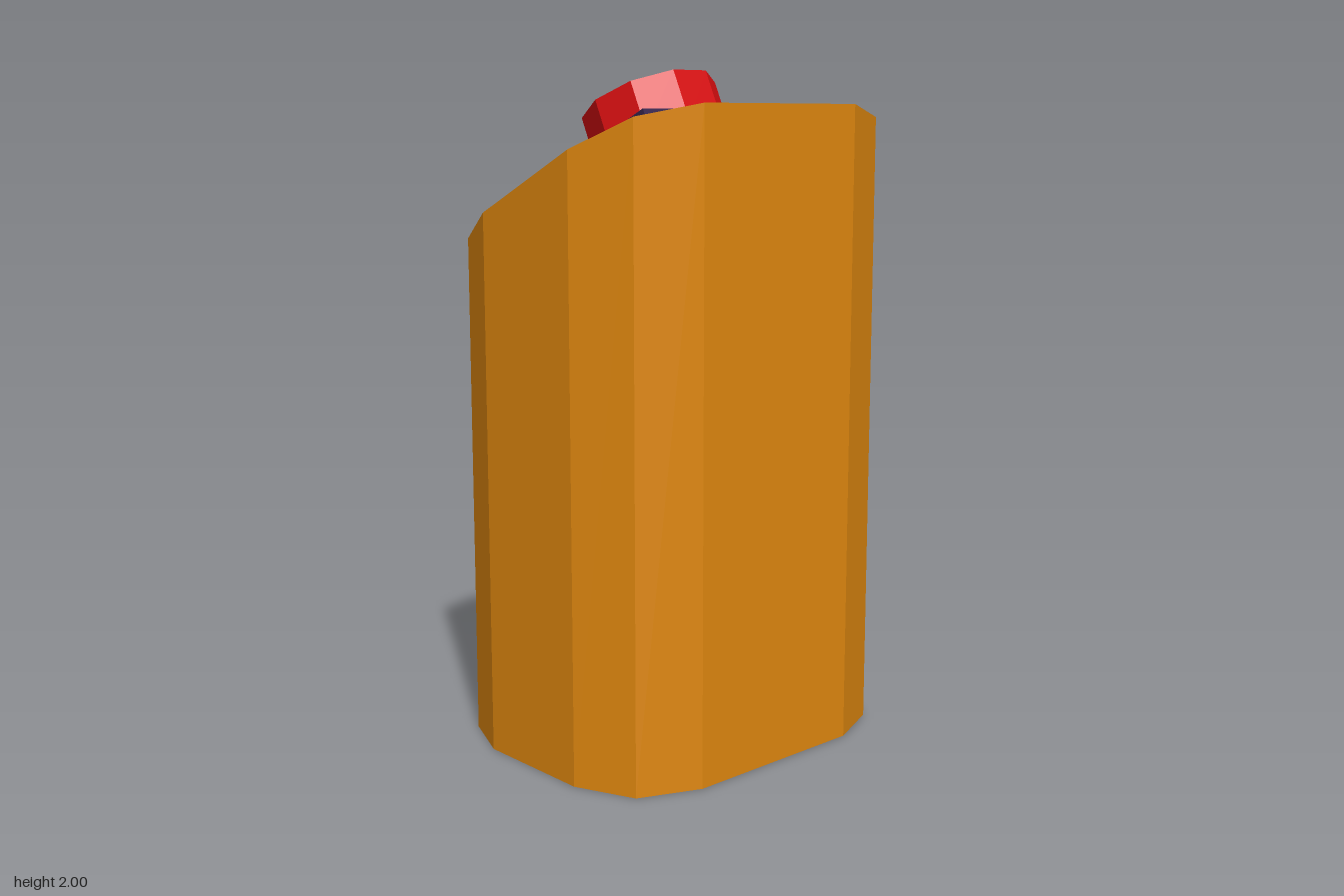
import * as THREE from 'three';

const flat = (color, name) => {
  const m = new THREE.MeshStandardMaterial({ color });
  m.name = name;
  return m;
};

export function createModel() {
  const orange = flat(0xe0880f, 'orange');
  const red = flat(0xd90e10, 'red');
  const plum = flat(0x3c0d30, 'plum');
  const indigo = flat(0x38264f, 'indigo');
  const model = new THREE.Group();
  model.name = 'buttonPedestal';

  // Twelve-sided footprint, mirrored from one quarter, running from +z towards +x
  const quarter = [[0.298, 0.448], [0.48, 0.371], [0.555, 0.191]];
  const right = [...quarter, ...quarter.map(([x, z]) => [x, -z]).reverse()];
  const outline = [...right, ...right.map(([x, z]) => [-x, -z])];
  const slopeY = (z) => 1.692 + 0.475 * z;

  // Pedestal: floor ring, sloped rim and a slightly raised inner ring
  const rings = [
    outline.map(([x, z]) => [x, 0, z]),
    outline.map(([x, z]) => [x, slopeY(z), z]),
    outline.map(([x, z]) => [x * 0.62, slopeY(z * 0.58 - 0.02) + 0.034, z * 0.58 - 0.02]),
  ];
  const pos = [];
  const n = outline.length;
  for (let i = 0; i < n; i++) {
    const j = (i + 1) % n;
    for (let r = 0; r < 2; r++) {
      const [a, b, c, d] = [rings[r][i], rings[r][j], rings[r + 1][j], rings[r + 1][i]];
      pos.push(...a, ...b, ...c, ...a, ...c, ...d);
    }
    pos.push(...rings[2][i], ...rings[2][j], 0, slopeY(-0.02) + 0.034, -0.02);
    pos.push(...rings[0][j], ...rings[0][i], 0, 0, 0);
  }
  const bodyGeo = new THREE.BufferGeometry();
  bodyGeo.setAttribute('position', new THREE.Float32BufferAttribute(pos, 3));
  bodyGeo.computeVertexNormals();
  const body = new THREE.Mesh(bodyGeo, orange);
  body.name = 'pedestal';
  model.add(body);

  // Tilted control on the sloped top
  const control = new THREE.Group();
  control.name = 'control';
  control.position.set(0, 1.748, -0.026);
  control.rotation.x = -Math.atan(0.475);
  model.add(control);

  // Plate with a differently coloured upper face
  const plate = new THREE.Mesh(
    new THREE.BoxGeometry(0.596, 0.062, 0.537),
    [indigo, indigo, plum, indigo, indigo, indigo],
  );
  plate.name = 'basePlate';
  control.add(plate);

  // Ten-sided push button with corners on the x axis
  const buttonGeo = new THREE.CylinderGeometry(0.208, 0.208, 0.16, 10).rotateY(Math.PI / 2).toNonIndexed();
  buttonGeo.computeVertexNormals();
  const button = new THREE.Mesh(buttonGeo, red);
  button.name = 'pushButton';
  button.position.y = 0.108;
  control.add(button);

  return model;
}
